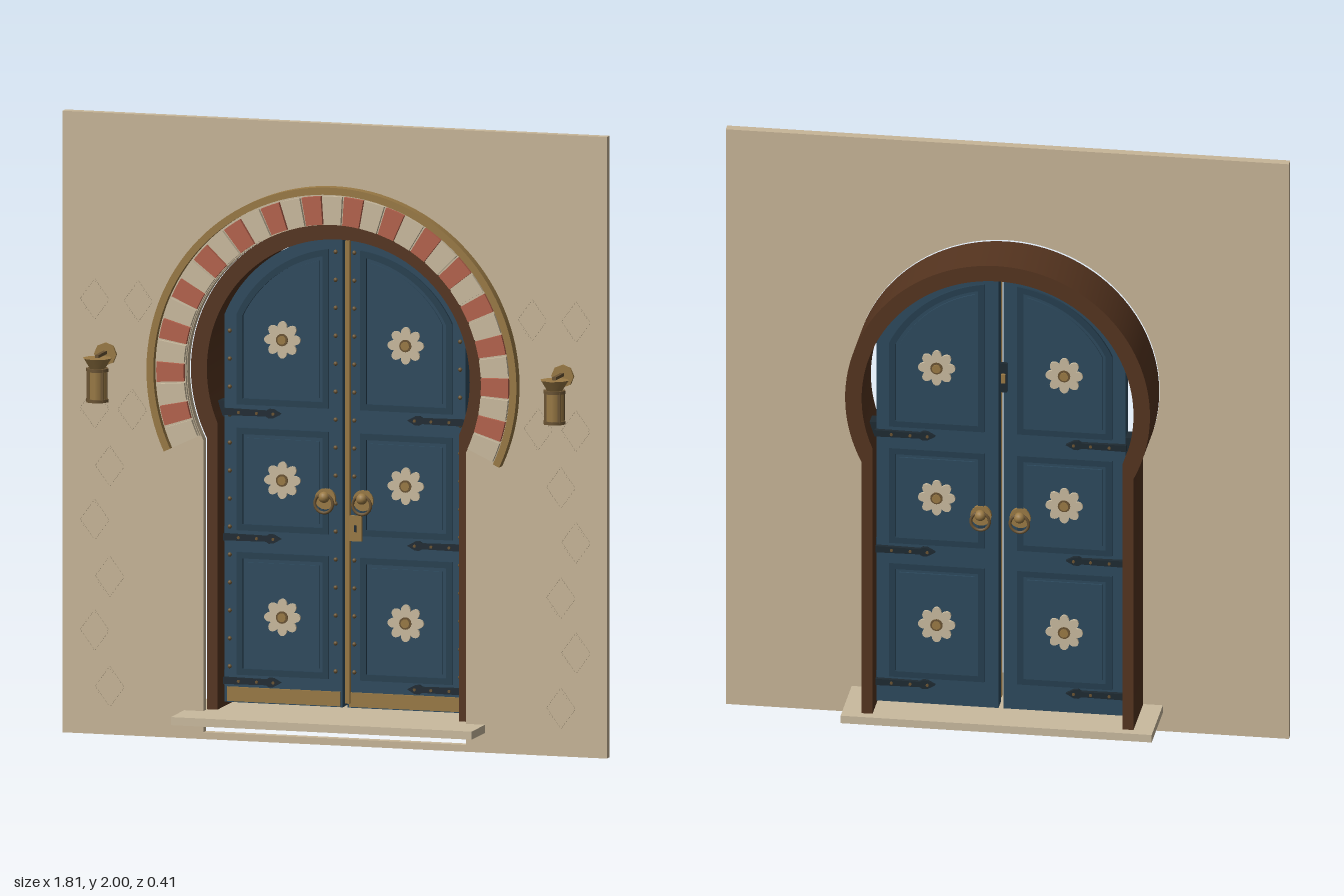
import * as THREE from 'three';
import { toCreasedNormals } from 'three/addons/utils/BufferGeometryUtils.js';

const CY = 1.185;      // centre height of the horseshoe arch
const T = 0.05;        // door leaf thickness
const DOOR_Z = -0.078;

const mat = (name, color) => Object.assign(new THREE.MeshStandardMaterial({ color }), { name });

export function createModel() {
  const M = {
    plaster: mat('plaster', 0xc8b698), stone: mat('pale stone', 0xcabb9f), red: mat('red brick', 0xb5624c),
    wood: mat('brown wood', 0x55341f), blue: mat('blue paint', 0x2d4a5e), trim: mat('dark blue trim', 0x263f50),
    brass: mat('brass', 0x9a7a45), bronze: mat('dark bronze', 0x6b5433), iron: mat('dark iron', 0x1e2a32),
  };
  const root = new THREE.Group();
  root.name = 'archedDoorway';

  const add = (parent, name, geo, material, x = 0, y = 0, z = 0) => {
    const m = new THREE.Mesh(geo, material);
    m.name = name;
    m.position.set(x, y, z);
    parent.add(m);
    return m;
  };
  const group = (parent, name) => {
    const g = new THREE.Group();
    g.name = name;
    parent.add(g);
    return g;
  };
  const box = (w, h, d) => new THREE.BoxGeometry(w, h, d);
  // extrusion between two z values
  const slab = (shape, z0, z1) => toCreasedNormals(
    new THREE.ExtrudeGeometry(shape, { depth: z1 - z0, bevelEnabled: false, curveSegments: 40 }).translate(0, 0, z0), 0.5);
  const disc = (r, d, n = 16, r2 = r) => new THREE.CylinderGeometry(r, r2, d, n).rotateX(Math.PI / 2);

  // horseshoe outline: straight legs below a circle wider than the legs
  const horseshoe = (path, leg, r, y0) => {
    const a = Math.acos(leg / r);
    path.moveTo(-leg, y0);
    path.lineTo(leg, y0);
    path.lineTo(leg, CY - r * Math.sin(a));
    path.absarc(0, CY, r, -a, Math.PI + a, false);
    path.lineTo(-leg, y0);
    return path;
  };
  const ring = (r0, r1, a0, a1) => {
    const s = new THREE.Shape();
    s.absarc(0, CY, r1, a0, a1, false);
    s.absarc(0, CY, r0, a1, a0, true);
    s.closePath();
    return s;
  };

  // wall with its opening
  const wall = new THREE.Shape([[-0.905, 0], [0.905, 0], [0.905, 2], [-0.905, 2]].map(p => new THREE.Vector2(...p)));
  wall.holes.push(horseshoe(new THREE.Path(), 0.436, 0.49, 0.022));
  add(root, 'wall', slab(wall, 0.03, 0.06), M.plaster);
  add(root, 'threshold', box(1, 0.026, 0.41), M.stone, 0, 0.077, 0);

  // deep wooden frame
  const frame = horseshoe(new THREE.Shape(), 0.437, 0.49, 0.09);
  const inA = Math.acos(0.402 / 0.437);
  frame.lineTo(-0.402, 0.09);
  frame.lineTo(-0.402, CY - 0.437 * Math.sin(inA));
  frame.absarc(0, CY, 0.437, Math.PI + inA, -inA, true);
  frame.lineTo(0.402, 0.09);
  frame.curves.shift();
  frame.closePath();
  add(root, 'doorFrame', slab(frame, -0.175, 0.02), M.wood);

  // arch of alternating blocks with a brass rim
  const arch = group(root, 'arch');
  const A0 = -25 * Math.PI / 180, span = 230 * Math.PI / 180, N = 33, pad = 0.006;
  add(arch, 'archRim', slab(ring(0.592, 0.615, A0, A0 + span), 0.06, 0.095), M.brass);
  add(arch, 'archBed', slab(ring(0.492, 0.592, A0, A0 + span), 0.06, 0.072), M.stone);
  for (let i = 0; i < N; i++) {
    const a = A0 + span * i / N, b = A0 + span * (i + 1) / N;
    add(arch, 'archBlock', slab(ring(0.494, 0.585, a + pad, b - pad), 0.06, 0.086), i % 2 ? M.red : M.stone);
  }

  // door panel outline; without y1 the top follows the arch at radius r
  const panel = (x0, x1, y0, y1, r, Type = THREE.Shape) => {
    const s = new Type();
    s.moveTo(x0, y0);
    s.lineTo(x1, y0);
    if (y1) {
      s.lineTo(x1, y1);
      s.lineTo(x0, y1);
    } else {
      s.absarc(0, CY, r, Math.acos(x1 / r), Math.acos(x0 / r), false);
    }
    s.closePath();
    return s;
  };
  const flower = new THREE.Shape();
  for (let i = 0; i <= 96; i++) {
    const a = i / 96 * Math.PI * 2, r = 0.041 + 0.019 * Math.pow(Math.abs(Math.cos(4 * a)), 0.8);
    flower[i ? 'lineTo' : 'moveTo'](r * Math.cos(a), r * Math.sin(a));
  }
  const through = (shape, extra) => slab(shape, -T / 2 - extra, T / 2 + extra);

  // hinge strap with a spear tip
  const strap = new THREE.Shape([[0.405, -0.011], [0.405, 0.011], [0.26, 0.009], [0.25, 0.015], [0.235, 0.014],
    [0.21, 0], [0.235, -0.014], [0.25, -0.015], [0.26, -0.009]].map(p => new THREE.Vector2(...p)));

  // one leaf, the same on both faces so a half turn gives the other
  for (const s of [1, -1]) {
    const leaf = group(root, s > 0 ? 'leftLeaf' : 'rightLeaf');
    leaf.position.z = DOOR_Z;
    if (s < 0) leaf.rotation.y = Math.PI;
    add(leaf, 'leafBoard', through(panel(0.008, 0.4, 0.105, 0, 0.434), 0), M.blue);
    const panels = [[0.195, 0.59], [0.66, 0.99], [1.065, 0]];
    for (const [y0, y1] of panels) {
      const inset = (d, Type) => panel(0.053 + d, 0.358 - d, y0 + d, y1 && y1 - d, 0.397 - d, Type);
      const moulding = inset(0);
      moulding.holes.push(inset(0.02, THREE.Path));
      add(leaf, 'panelMoulding', through(moulding, 0.009), M.trim);
      add(leaf, 'panelField', through(inset(0.032), 0.005), M.blue);
    }
    for (const y of [0.387, 0.828, 1.28]) {
      add(leaf, 'rosette', through(flower, 0.014), M.stone, 0.205, y);
      add(leaf, 'rosetteRing', disc(0.02, T + 0.034), M.bronze, 0.205, y);
      add(leaf, 'rosetteBoss', disc(0.014, T + 0.042), M.brass, 0.205, y);
    }
    for (const y of [0.175, 0.637, 1.04]) {
      add(leaf, 'hingeStrap', through(strap, 0.013), M.iron, 0, y);
      add(leaf, 'hingeKnuckle', box(0.03, 0.05, T), M.iron, 0.415, y + 0.008);
      for (const x of [0.235, 0.29, 0.35]) add(leaf, 'strapBolt', disc(0.005, T + 0.034, 8), M.bronze, x, y);
    }
    // round pulls on both faces
    for (const f of [1, -1]) {
      const z = f * T / 2;
      add(leaf, 'pullPlate', disc(0.034, 0.012, 20), M.brass, 0.063, 0.775, z + f * 0.006);
      add(leaf, 'pullBoss', new THREE.SphereGeometry(0.018, 16, 10), M.brass, 0.063, 0.782, z + f * 0.024);
      add(leaf, 'pullRing', new THREE.TorusGeometry(0.03, 0.005, 8, 24), M.bronze, 0.063, 0.762, z + f * 0.026);
    }
    // front-only fittings
    const fit = group(root, 'frontFittings');
    fit.position.z = DOOR_Z + T / 2;
    add(fit, 'kickPlate', box(0.375, 0.046, 0.008), M.brass, s * 0.2025, 0.132, 0.004);
    for (const [x, top] of [[0.383, 1.36], [0.031, 1.58]]) {
      for (let y = 0.22; y < top; y += 0.09) {
        add(fit, 'stud', new THREE.SphereGeometry(0.007, 8, 6), M.bronze, s * x, y, 0.001);
      }
    }
  }
  add(root, 'centreStrip', box(0.015, 1.49, 0.016), M.brass, 0.013, 0.865, DOOR_Z + T / 2 + 0.008);
  add(root, 'lockPlate', box(0.04, 0.082, 0.012), M.brass, 0.04, 0.685, DOOR_Z + T / 2 + 0.012);
  add(root, 'keyhole', box(0.007, 0.022, 0.004), M.iron, 0.04, 0.685, DOOR_Z + T / 2 + 0.019);
  add(root, 'backBolt', box(0.022, 0.1, 0.012), M.iron, -0.01, 1.26, DOOR_Z - T / 2 - 0.006);
  add(root, 'backBoltKnob', box(0.014, 0.03, 0.012), M.brass, -0.01, 1.26, DOOR_Z - T / 2 - 0.016);

  // dotted diamonds on the wall
  const dots = group(root, 'wallDiamonds');
  const dot = box(0.009, 0.006, 0.006);
  const centres = [[0.8, 1.4], [0.655, 1.4], [0.8, 1.05], [0.675, 1.05], [0.75, 0.865], [0.8, 0.69], [0.75, 0.51], [0.8, 0.335], [0.75, 0.155]];
  for (const s of [1, -1]) for (const [cx, cy] of centres) for (let k = 0; k < 4; k++) for (let i = 0; i < 6; i++) {
    const sx = k < 2 ? 1 : -1, sy = k % 2 ? 1 : -1, t = (i + 0.5) / 6;
    const d = add(dots, 'diamondDot', dot, M.plaster, s * cx + sx * 0.048 * t, cy + sy * 0.066 * (1 - t), 0.062);
    d.rotation.z = -sx * sy * 0.94;
  }

  // wall lanterns
  for (const s of [1, -1]) {
    const l = group(root, s > 0 ? 'leftLantern' : 'rightLantern');
    l.position.set(s * 0.76, 0, 0);
    add(l, 'wallPlate', disc(0.037, 0.01, 8), M.brass, 0, 1.225, 0.065);
    add(l, 'arm', box(0.012, 0.01, 0.1), M.bronze, 0, 1.231, 0.11);
    add(l, 'cap', new THREE.CylinderGeometry(0.047, 0.024, 0.036, 8), M.brass, 0, 1.208, 0.155);
    add(l, 'lampBody', new THREE.CylinderGeometry(0.031, 0.031, 0.1, 8), M.brass, 0, 1.14, 0.155);
    for (const y of [1.188, 1.09]) add(l, 'lampBand', new THREE.CylinderGeometry(0.037, 0.037, 0.01, 8), M.bronze, 0, y, 0.155);
    for (let i = 0; i < 8; i += 2) {
      const a = (i + 1) * Math.PI / 4;
      add(l, 'lampPost', box(0.008, 0.1, 0.008), M.bronze, 0.032 * Math.cos(a), 1.14, 0.155 + 0.032 * Math.sin(a));
    }
  }
  return root;
}
